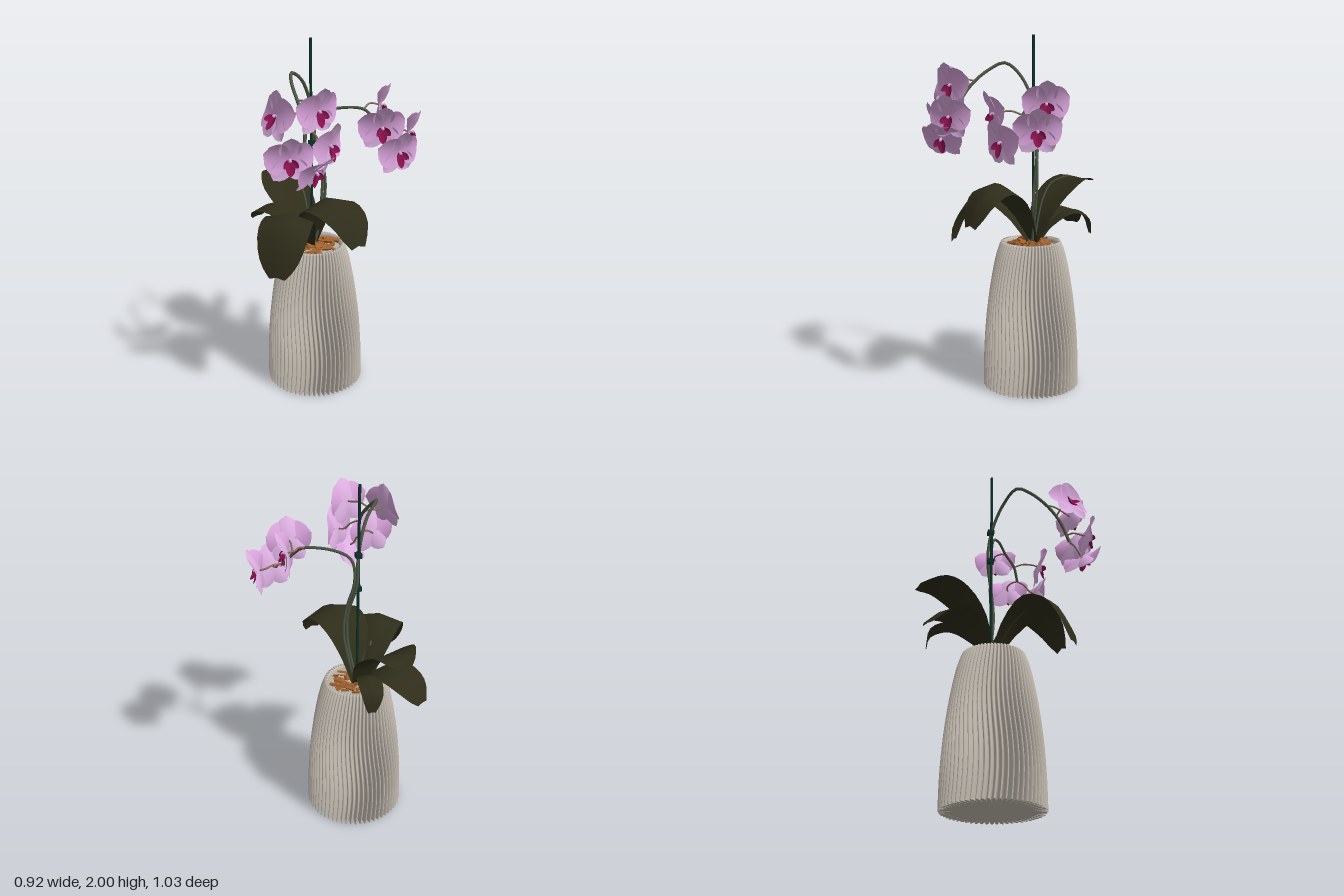
import * as THREE from 'three';

const V = (a) => new THREE.Vector3(...a);
const mat = (name, color, double) => {
  const m = new THREE.MeshStandardMaterial({ color });
  m.name = name;
  if (double) m.side = THREE.DoubleSide;
  return m;
};
const CX = -0.085, CZ = -0.075; // vase axis

// Surface sampled from fn(u, v) -> [x, y, z]
function grid(nu, nv, fn) {
  const pos = [], idx = [];
  for (let j = 0; j <= nv; j++)
    for (let i = 0; i <= nu; i++) pos.push(...fn(i / nu, j / nv));
  for (let j = 0; j < nv; j++)
    for (let i = 0; i < nu; i++) {
      const a = j * (nu + 1) + i, b = a + nu + 1;
      idx.push(a, a + 1, b + 1, a, b + 1, b);
    }
  const g = new THREE.BufferGeometry();
  g.setAttribute('position', new THREE.Float32BufferAttribute(pos, 3));
  g.setIndex(idx);
  g.computeVertexNormals();
  return g;
}

const tube = (pts, r, n = 24) =>
  new THREE.TubeGeometry(new THREE.CatmullRomCurve3(pts.map(V)), n, r, 7);

// Vase wall: gently waving vertical ribs with deep, narrow grooves
function vaseGeometry() {
  const ribs = 60;
  const profile = new THREE.SplineCurve([[0.276, 0], [0.272, 0.2], [0.258, 0.4], [0.232, 0.6],
    [0.201, 0.76], [0.172, 0.848]].map((p) => new THREE.Vector2(...p)));
  const rows = [[0, 0, 0], [0.276, 0, 0.07], [0.276, 0, 0.07]];
  for (let i = 1; i <= 24; i++) {
    const p = profile.getPoint(i / 24);
    rows.push([p.x, p.y, 0.07 - 0.06 * p.y]);
  }
  rows.push([0.154, 0.846, 0.002], [0.15, 0.83, 0], [0.15, 0.74, 0]);
  return grid(ribs * 8, rows.length - 1, (u, v) => {
    const [r, y, amp] = rows[Math.round(v * (rows.length - 1))];
    const rib = Math.pow(Math.abs(Math.sin(u * Math.PI * ribs)), 0.6);
    const a = u * Math.PI * 2 + 0.045 * Math.sin(y * 8);
    const R = r - amp * (1 - rib);
    return [R * Math.sin(a), y, R * Math.cos(a)];
  });
}

// Leaf: blade along a spine, narrow at the base, with drooping or raised edges
function leafGeometry(pts, width, fold) {
  const curve = new THREE.CatmullRomCurve3(pts.map(V));
  const dir = V(pts[pts.length - 1]).sub(V(pts[0])).setY(0).normalize();
  const side = new THREE.Vector3(dir.z, 0, -dir.x);
  return grid(6, 12, (u, v) => {
    const s = u * 2 - 1;
    const w = width * 0.5 * Math.pow(Math.sin(Math.PI * (0.05 + 0.9 * Math.pow(v, 1.15))), 0.65);
    const p = curve.getPoint(v).addScaledVector(side, s * w);
    p.y += fold * (Math.abs(s) - 0.35) * w;
    return p.toArray();
  });
}

// Petal: rounded blade pointing along angle a (0 = up), cupped by curl
function petalGeometry(a, len, width, z, curl, cup) {
  return grid(6, 8, (u, v) => {
    const s = u * 2 - 1;
    const w = width * 0.5 * Math.pow(Math.sin(Math.PI * (0.05 + 0.95 * Math.pow(v, 1.05))), 0.6);
    const x = s * w, y = len * v;
    return [x * Math.cos(a) + y * Math.sin(a), y * Math.cos(a) - x * Math.sin(a),
      z + curl * v * v + cup * s * s * Math.sin(Math.PI * v)];
  });
}

export function createModel() {
  const root = new THREE.Group();
  root.name = 'pottedOrchid';
  const M = {
    vase: mat('stone grey', 0xc6beb3),
    pot: mat('inner pot grey', 0xb5b2a6),
    bark: mat('bark orange', 0xa4632f),
    leaf: mat('leaf olive', 0x2f2d1a, true),
    stem: mat('stem green', 0x4e5846),
    pedicel: mat('pedicel brown', 0x8b6f62),
    stake: mat('stake green', 0x0c3229),
    petal: mat('petal pink', 0xdba4dd, true),
    sepal: mat('sepal lilac', 0xdcb0e1, true),
    lip: mat('lip magenta', 0x8c104e, true),
  };
  const add = (name, geo, m, parent = root, p = [0, 0, 0]) => {
    const mesh = new THREE.Mesh(geo, m);
    mesh.name = name;
    mesh.position.set(...p);
    parent.add(mesh);
    return mesh;
  };

  // Vase, inner pot surface and bark chips
  add('vase', vaseGeometry(), M.vase, root, [CX, 0, CZ]);
  add('innerPot', new THREE.CylinderGeometry(0.151, 0.151, 0.04, 40), M.pot, root, [CX, 0.795, CZ]);
  let seed = 7;
  const rnd = () => (seed = (seed * 16807) % 2147483647) / 2147483647;
  const chip = new THREE.BoxGeometry(0.06, 0.012, 0.022);
  for (let i = 0; i < 42; i++) {
    const a = i * 2.4, r = 0.125 * Math.sqrt((i + 0.5) / 42);
    const c = add('barkChip', chip, M.bark, root,
      [CX + r * Math.sin(a), 0.823 + rnd() * 0.024, CZ + r * Math.cos(a)]);
    c.rotation.set((rnd() - 0.5) * 0.9, rnd() * 6.28, (rnd() - 0.5) * 0.9);
    c.scale.setScalar(0.65 + rnd() * 0.5);
  }

  // Support stake with clips
  add('stake', new THREE.CylinderGeometry(0.008, 0.008, 1.2, 8), M.stake, root, [-0.09, 1.4, -0.092]);
  for (const y of [1.43, 1.62])
    add('stakeClip', new THREE.BoxGeometry(0.032, 0.026, 0.036), M.stake, root, [-0.087, y, -0.096]);

  // Leaves
  const leaves = [
    ['frontLeaf', [[-0.1, 0.84, -0.09], [-0.1, 1.02, -0.02], [-0.08, 1.14, 0.07], [-0.04, 1.18, 0.17], [0.02, 1.12, 0.27], [0.05, 0.98, 0.34]], 0.29, -0.35],
    ['leftLeaf', [[-0.12, 0.84, -0.08], [-0.19, 1, 0], [-0.26, 1.1, 0.1], [-0.32, 1.07, 0.2], [-0.36, 0.95, 0.265], [-0.38, 0.83, 0.29]], 0.29, -0.25],
    ['tallBackLeaf', [[-0.1, 0.84, -0.1], [-0.14, 1, -0.17], [-0.19, 1.12, -0.29], [-0.2, 1.18, -0.4], [-0.21, 1.16, -0.51]], 0.28, 0.1],
    ['lowBackLeaf', [[-0.11, 0.84, -0.11], [-0.17, 0.97, -0.2], [-0.24, 1.01, -0.3], [-0.3, 0.97, -0.4], [-0.335, 0.89, -0.46]], 0.24, -0.15],
    ['smallBackLeaf', [[-0.1, 0.84, -0.11], [-0.09, 0.94, -0.2], [-0.08, 1.01, -0.32], [-0.07, 0.97, -0.42], [-0.06, 0.87, -0.44]], 0.13, -0.25],
  ];
  for (const [name, pts, w, fold] of leaves) add(name, leafGeometry(pts, w, fold), M.leaf);

  // Flower stems and a short spike
  const stems = [
    ['leftStem', [[-0.09, 0.83, -0.1], [-0.04, 1.1, -0.07], [-0.035, 1.28, -0.085], [-0.075, 1.45, -0.11], [-0.09, 1.63, -0.09],
      [-0.15, 1.79, -0.03], [-0.22, 1.85, 0.03], [-0.24, 1.82, 0.1], [-0.235, 1.75, 0.2], [-0.22, 1.66, 0.28], [-0.23, 1.52, 0.33]], 0.009, 50],
    ['rightStem', [[-0.08, 0.83, -0.08], [-0.015, 1.15, -0.08], [-0.025, 1.3, -0.085], [-0.07, 1.47, -0.09],
      [-0.055, 1.59, -0.075], [0.02, 1.63, -0.03], [0.165, 1.635, 0.04], [0.21, 1.58, 0.1], [0.26, 1.51, 0.13]], 0.008, 50],
    ['shortSpike', [[-0.09, 0.85, -0.1], [-0.11, 1.08, -0.16], [-0.12, 1.17, -0.22], [-0.1, 1.2, -0.28], [-0.08, 1.21, -0.32]], 0.005, 20],
  ];
  for (const [name, pts, r, n] of stems) add(name, tube(pts, r, n), M.stem);

  // Flower parts, facing +z
  const parts = [
    ['topSepal', petalGeometry(0, 0.13, 0.115, -0.008, 0.035, 0.016), M.sepal],
    ['lowerSepal', petalGeometry(2.5, 0.132, 0.105, -0.008, 0.015, 0.014), M.sepal],
    ['lowerSepal', petalGeometry(-2.5, 0.132, 0.105, -0.008, 0.015, 0.014), M.sepal],
    ['sidePetal', petalGeometry(1.32, 0.13, 0.17, 0.004, -0.022, 0.024), M.petal],
    ['sidePetal', petalGeometry(-1.32, 0.13, 0.17, 0.004, -0.022, 0.024), M.petal],
    ['lipFront', petalGeometry(Math.PI, 0.07, 0.046, 0.01, 0.04, 0.012), M.lip],
    ['lipLobe', petalGeometry(2.1, 0.044, 0.036, 0.012, 0.036, 0.006), M.lip],
    ['lipLobe', petalGeometry(-2.1, 0.044, 0.036, 0.012, 0.036, 0.006), M.lip],
    ['column', new THREE.SphereGeometry(0.009, 8, 6).scale(1, 1, 1.8).translate(0, 0.002, 0.014), M.petal],
  ];

  // Nodding flowers: centre, facing direction, start of the pedicel on the stem
  const flowers = [
    [[-0.17, 1.73, 0.36], [0.4, -0.22, 0.9], [-0.235, 1.75, 0.2]],
    [[-0.325, 1.51, 0.4], [0, -0.2, 1], [-0.23, 1.56, 0.31]],
    [[-0.125, 1.56, 0.39], [0.7, -0.2, 0.75], [-0.22, 1.64, 0.285]],
    [[-0.36, 1.7, 0.3], [-1, 0.25, 0.4], [-0.22, 1.69, 0.26]],
    [[-0.2, 1.44, 0.41], [0.5, -0.6, 0.6], [-0.23, 1.52, 0.33]],
    [[0.195, 1.59, 0.25], [-0.05, -0.25, 1], [0.21, 1.58, 0.1]],
    [[0.29, 1.45, 0.25], [0.3, -0.25, 1], [0.26, 1.51, 0.13]],
    [[0.4, 1.51, 0.1], [1, -0.3, 0.35], [0.26, 1.51, 0.13]],
    [[0.27, 1.64, -0.005], [1, -0.25, 0.3], [0.165, 1.635, 0.04]],
  ];
  for (const [p, d, from] of flowers) {
    const f = new THREE.Group();
    f.name = 'flower';
    f.position.set(...p);
    f.lookAt(V(p).add(V(d)));
    for (const [name, geo, m] of parts) add(name, geo, m, f);
    root.add(f);
    const back = V(p).addScaledVector(V(d).normalize(), -0.04);
    const mid = V(from).lerp(back, 0.5);
    mid.y += 0.012;
    add('pedicel', tube([from, mid.toArray(), back.toArray(), p], 0.005, 10), M.pedicel);
  }
  return root;
}
